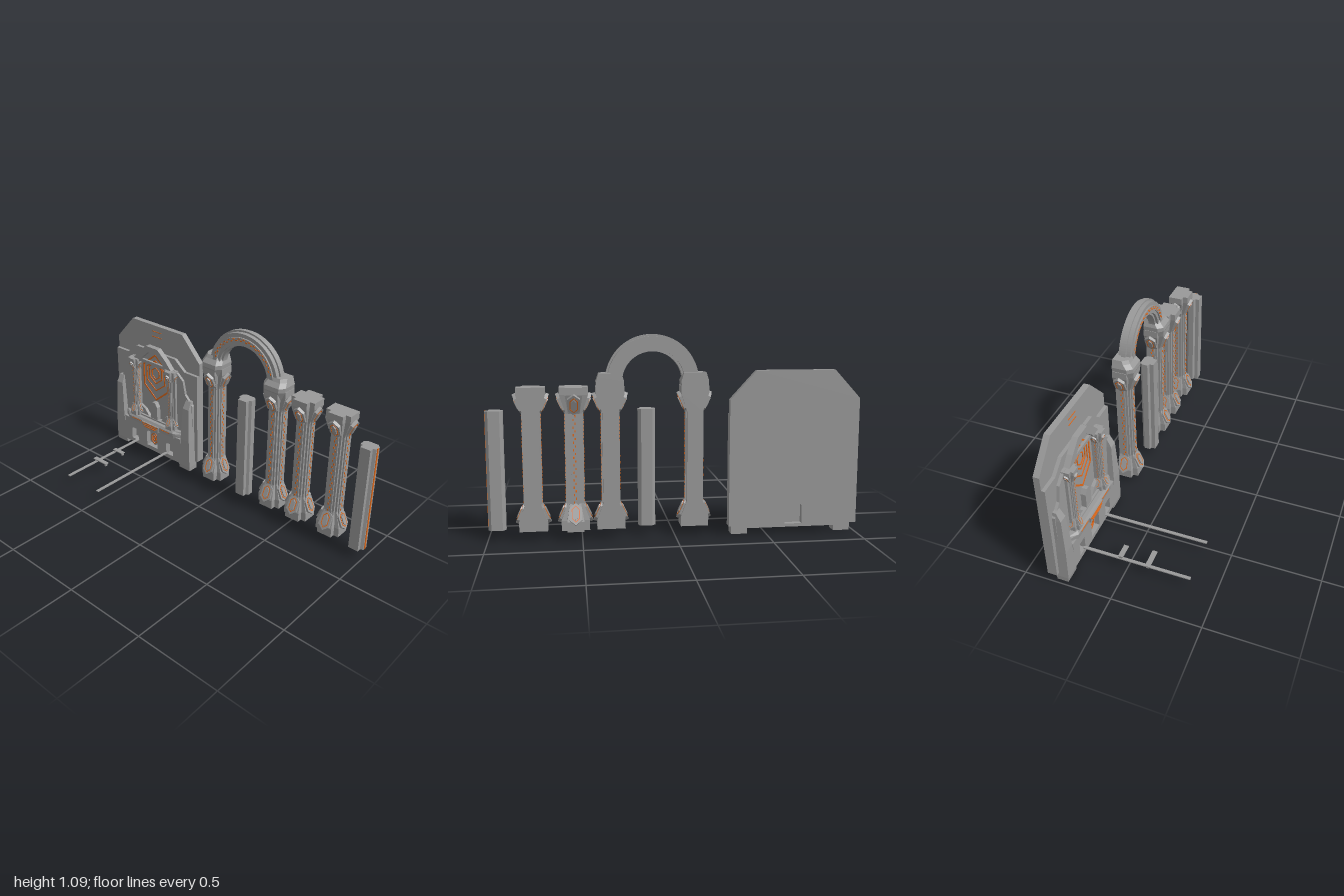
import * as THREE from 'three';

const stone = new THREE.MeshStandardMaterial({ color: 0x999999 });
stone.name = 'grey stone';
const glow = new THREE.MeshStandardMaterial({ color: 0xe0691a });
glow.name = 'orange inlay';

function add(parent, name, geo, mat = stone, x = 0, y = 0, z = 0) {
  const m = new THREE.Mesh(geo, mat);
  m.name = name;
  m.position.set(x, y, z);
  parent.add(m);
  return m;
}
const box = (p, name, mat, w, h, d, x, y, z) => add(p, name, new THREE.BoxGeometry(w, h, d), mat, x, y, z);
const poly = (pts) => new THREE.Shape(pts.map(([x, y]) => new THREE.Vector2(x, y)));
// right half outline -> full symmetric outline
const mirrored = (pts) => poly([...pts, ...pts.slice().reverse().map(([x, y]) => [-x, y])]);

// extrude a front-facing shape between two depths
function plate(p, name, shape, z0, z1, mat = stone) {
  return add(p, name, new THREE.ExtrudeGeometry(shape, { depth: z1 - z0, bevelEnabled: false, curveSegments: 28 }), mat, 0, 0, z0);
}

// stack of equal-length (x, z) outlines: [[y, points], ...]
function loft(sections) {
  const v = [];
  const put = (s, i) => v.push(s[1][i][0], s[0], s[1][i][1]);
  const n = sections[0][1].length;
  for (let k = 0; k + 1 < sections.length; k++) {
    const a = sections[k], b = sections[k + 1];
    for (let i = 0; i < n; i++) {
      const j = (i + 1) % n;
      put(a, i); put(b, i); put(b, j);
      put(a, i); put(b, j); put(a, j);
    }
  }
  const first = sections[0], last = sections[sections.length - 1];
  const caps = (s) => THREE.ShapeUtils.triangulateShape(s[1].map(([x, z]) => new THREE.Vector2(x, z)), []);
  caps(first).forEach(([a, b, c]) => { put(first, a); put(first, b); put(first, c); });
  caps(last).forEach(([a, b, c]) => { put(last, a); put(last, c); put(last, b); });
  const g = new THREE.BufferGeometry();
  g.setAttribute('position', new THREE.Float32BufferAttribute(v, 3));
  g.computeVertexNormals();
  return g;
}

const hexPts = (w, h, s) => [[0, -h], [w, -h * s], [w, h * s], [0, h], [-w, h * s], [-w, -h * s]];
function hexRing(w, h, t, s = 0.45) {
  const shape = poly(hexPts(w, h, s));
  shape.holes.push(new THREE.Path(hexPts(w - t, h - t * 1.2, s).reverse().map(([x, y]) => new THREE.Vector2(x, y))));
  return shape;
}
const thin = (shape, depth = 0.004) => new THREE.ExtrudeGeometry(shape, { depth, bevelEnabled: false });

// pillar plan: a cross, or a T with a flat back
const crossPlan = (e, a) => [[e, -a], [e, a], [a, a], [a, e], [-a, e], [-a, a], [-e, a], [-e, -a], [-a, -a], [-a, -e], [a, -e], [a, -a]];
const teePlan = (e, a) => [[e, -0.04], [e, a], [a, a], [a, e], [-a, e], [-a, a], [-e, a], [-e, -0.04]];

function pillar(parent, name, x, z, plan, angles) {
  const g = new THREE.Group();
  g.name = name;
  g.position.set(x, 0, z);
  parent.add(g);
  const levels = [[0.055, 0.075, 0.045], [0.11, 0.075, 0.045], [0.2, 0.042, 0.03], [0.68, 0.042, 0.03], [0.78, 0.075, 0.045], [0.82, 0.075, 0.045]];
  add(g, 'pillarBody', loft(levels.map(([y, e, a]) => [y, plan(e, a)])));
  for (const angle of angles) {
    const side = new THREE.Group();
    side.name = 'pillarFace';
    side.rotation.y = angle;
    g.add(side);
    // raised rib with broken inlay line
    box(side, 'rib', stone, 0.034, 0.5, 0.012, 0, 0.44, 0.043);
    for (let i = 0; i < 24; i++)
      box(side, 'inlayDash', glow, 0.006, 0.012, 0.003, i % 2 ? 0.005 : -0.005, 0.21 + i * 0.02, 0.05);
    // slanted brackets at capital and base
    for (const [y, tilt] of [[0.735, 0.42], [0.145, -0.42]]) {
      const b = new THREE.Group();
      b.name = 'bracket';
      b.position.set(0, y, 0.055);
      b.rotation.x = tilt;
      side.add(b);
      add(b, 'bracketPlate', thin(poly(hexPts(0.033, 0.06, 0.55)), 0.018));
      add(b, 'bracketInlay', thin(hexRing(0.021, 0.045, 0.004, 0.55), 0.003), glow, 0, 0, 0.017);
      add(b, 'bracketBoss', thin(poly(hexPts(0.012, 0.034, 0.6)), 0.007), stone, 0, 0, 0.017);
    }
  }
  return g;
}

function ringShape(r0, r1) {
  const s = new THREE.Shape();
  s.absarc(0, 0, r1, 0, Math.PI, false);
  s.absarc(0, 0, r0, Math.PI, 0, true);
  return s;
}

function doorPath(C, x, w, y0, y1) {
  const p = new C();
  const r = w * 0.45;
  p.moveTo(x - w, y0);
  p.lineTo(x - w, y1 - r);
  p.quadraticCurveTo(x - w, y1, x - w + r, y1);
  p.lineTo(x + w - r, y1);
  p.quadraticCurveTo(x + w, y1, x + w, y1 - r);
  p.lineTo(x + w, y0);
  p.closePath();
  return p;
}

function buildWall(root) {
  const wall = new THREE.Group();
  wall.name = 'wall';
  wall.position.x = -0.643;
  root.add(wall);
  // stacked slabs
  const back = mirrored([[0.357, 0.055], [0.357, 0.745], [0.215, 0.9]]);
  const mid = mirrored([[0.357, 0.055], [0.357, 0.665], [0.25, 0.665], [0.17, 0.73]]);
  for (const s of [back, mid]) s.holes.push(doorPath(THREE.Path, 0, 0.048, 0.06, 0.17));
  plate(wall, 'backSlab', back, -0.36, -0.325);
  plate(wall, 'middleSlab', mid, -0.325, -0.305);
  plate(wall, 'doorPanel', doorPath(THREE.Shape, 0, 0.05, 0.058, 0.172), -0.33, -0.318);
  const wing = mirrored([[0.33, 0.06], [0.33, 0.46], [0.27, 0.52], [0.25, 0.61], [0.19, 0.66]]);
  wing.holes.push(new THREE.Path(mirrored([[0.14, 0.19], [0.14, 0.64]]).getPoints()));
  wing.holes.push(doorPath(THREE.Path, 0, 0.048, 0.07, 0.17));
  plate(wall, 'wingSlab', wing, -0.305, -0.288);
  // gabled frame around the emblem
  const frame = mirrored([[0.2, 0.2], [0.2, 0.62], [0.12, 0.71], [0.05, 0.77]]);
  frame.holes.push(new THREE.Path(mirrored([[0.135, 0.26], [0.135, 0.62], [0.09, 0.68], [0.035, 0.73]]).getPoints()));
  plate(wall, 'gableFrame', frame, -0.306, -0.272);
  for (const [w, h, t, y] of [[0.11, 0.165, 0.01, 0.55], [0.082, 0.11, 0.007, 0.565], [0.058, 0.08, 0.007, 0.585], [0.034, 0.045, 0.006, 0.58]])
    add(wall, 'emblemRing', thin(hexRing(w, h, t)), glow, 0, y, -0.305);
  for (const y of [0.825, 0.86]) box(wall, 'topInlay', glow, 0.08, 0.004, 0.004, 0, y, -0.324);
  // pointed shrine under the emblem
  plate(wall, 'shrine', mirrored([[0.03, 0.24], [0.03, 0.35], [0.012, 0.38]]), -0.306, -0.275);
  for (const s of [-1, 1]) plate(wall, 'shrineStep', poly([[s * 0.04, 0.24], [s * 0.135, 0.24], [s * 0.135, 0.32], [s * 0.09, 0.3]]), -0.306, -0.285);

  // lower base with three niches
  const base = mirrored([[0.255, 0.03], [0.255, 0.21]]);
  for (const [x, w, y] of [[-0.16, 0.03, 0.14], [0, 0.048, 0.17], [0.16, 0.03, 0.14]])
    base.holes.push(doorPath(THREE.Path, x, w, 0.058, y));
  plate(wall, 'lowerBase', base, -0.305, -0.25);
  box(wall, 'underside', stone, 0.51, 0.03, 0.03, 0, 0.045, -0.305);
  const trap = (w, w2, z) => [[-w, -0.31], [w, -0.31], [w, -0.28], [w2, z], [-w2, z], [-w, -0.28]];
  add(wall, 'ledge', loft([[0.2, trap(0.265, 0.2, -0.245)], [0.235, trap(0.265, 0.2, -0.24)], [0.25, trap(0.255, 0.19, -0.25)]]));
  add(wall, 'ledgeCentre', loft([[0.19, trap(0.09, 0.065, -0.237)], [0.235, trap(0.09, 0.075, -0.232)]]));
  for (const [y, w] of [[0.205, 0.1], [0.218, 0.13], [0.23, 0.145]]) box(wall, 'ledgeInlay', glow, w, 0.005, 0.004, 0, y, -0.2325);
  for (const s of [-1, 1]) box(wall, 'ledgeSideInlay', glow, 0.08, 0.004, 0.004, s * 0.13, 0.228, -0.24);
  plate(wall, 'shrineDoor', poly(hexPts(0.04, 0.055, 0.6).map(([x, y]) => [x, y + 0.113])), -0.318, -0.275);
  for (const [w, h] of [[0.028, 0.046], [0.014, 0.024]]) add(wall, 'doorEmblem', thin(hexRing(w, h, 0.006)), glow, 0, 0.113, -0.275);

  // buttresses with feet, and slim wall pillars
  for (const s of [-1, 1]) {
    const slab = (x0, x1, z) => [[Math.min(s * x0, s * x1), -0.32], [Math.max(s * x0, s * x1), -0.32], [Math.max(s * x0, s * x1), z], [Math.min(s * x0, s * x1), z]];
    add(wall, 'buttress', loft([[0, slab(0.245, 0.335, -0.255)], [0.03, slab(0.245, 0.337, -0.25)], [0.22, slab(0.262, 0.333, -0.25)], [0.44, slab(0.275, 0.325, -0.26)], [0.49, slab(0.28, 0.32, -0.285)]]));
    const p = pillar(wall, 'wallPillar', s * 0.16, -0.282, teePlan, [0, Math.PI / 2, -Math.PI / 2]);
    p.scale.setScalar(0.535);
    p.position.y = 0.22;
  }
}

// rails on the floor and two small stands
function buildRails(root) {
  for (const x of [-0.778, -0.513]) box(root, 'floorRail', stone, 0.018, 0.006, 0.62, x, 0.062, 0.05);
  for (const [x, w, z] of [[-0.743, 0.085, -0.037], [-0.74, 0.115, 0.123]]) {
    box(root, 'benchTop', stone, w, 0.006, 0.028, x, 0.078, z);
    box(root, 'benchInlay', glow, w * 0.9, 0.003, 0.02, x, 0.0745, z);
    for (const s of [-1, 1]) box(root, 'benchLeg', stone, 0.012, 0.014, 0.016, x + s * w * 0.4, 0.068, z);
  }
}

function buildArch(root) {
  const arch = new THREE.Group();
  arch.name = 'arch';
  arch.position.set(0.12, 0.84, 0);
  root.add(arch);
  plate(arch, 'archBand', ringShape(0.172, 0.24), -0.305, -0.235);
  plate(arch, 'archOuterRib', ringShape(0.23, 0.25), -0.285, -0.26);
  plate(arch, 'archInnerRib', ringShape(0.16, 0.175), -0.29, -0.25);
  plate(arch, 'archFrontRib', ringShape(0.192, 0.218), -0.24, -0.226);
  for (let i = 0; i < 30; i++) {
    const a = 0.3 + (i / 29) * (Math.PI - 0.6);
    const r = i % 2 ? 0.2 : 0.21;
    const d = box(arch, 'archInlay', glow, 0.006, 0.014, 0.003, Math.cos(a) * r, Math.sin(a) * r, -0.225);
    d.rotation.z = a;
  }
  // pillars with stepped blocks carrying the arch
  const block = (w, f) => [[w, -0.04], [w, f - 0.03], [w - 0.025, f], [-w + 0.025, f], [-w, f - 0.03], [-w, -0.04]];
  for (const s of [-1, 1]) {
    const p = pillar(root, 'archPillar', 0.12 + s * 0.225, -0.28, teePlan, [0, Math.PI / 2, -Math.PI / 2]);
    add(p, 'springBlock', loft([[0.77, block(0.06, 0.06)], [0.82, block(0.072, 0.078)], [0.845, block(0.074, 0.076)], [0.87, block(0.066, 0.055)], [0.89, block(0.06, 0.045)]]));
  }
}

// plain posts
function buildPost(root, x) {
  const plan = [[-0.03, -0.04], [0.03, -0.04], [0.046, -0.025], [0.046, 0.008], [0.03, 0.016], [0.03, 0.04], [-0.03, 0.04], [-0.03, 0.016], [-0.046, 0.008], [-0.046, -0.025]];
  add(root, 'post', loft([[0.055, plan], [0.695, plan]]), stone, x, 0, -0.24);
}

export function createModel() {
  const root = new THREE.Group();
  root.name = 'architecturalSet';
  buildWall(root);
  buildRails(root);
  buildArch(root);
  const q = Math.PI / 2;
  pillar(root, 'freePillar', 0.535, -0.28, crossPlan, [0, q, 2 * q, -q]);
  pillar(root, 'halfPillar', 0.757, -0.28, teePlan, [0, q, -q]);
  buildPost(root, 0.15);
  buildPost(root, 0.95);
  box(root, 'postInlay', glow, 0.004, 0.64, 0.012, 0.997, 0.375, -0.245);
  return root;
}
